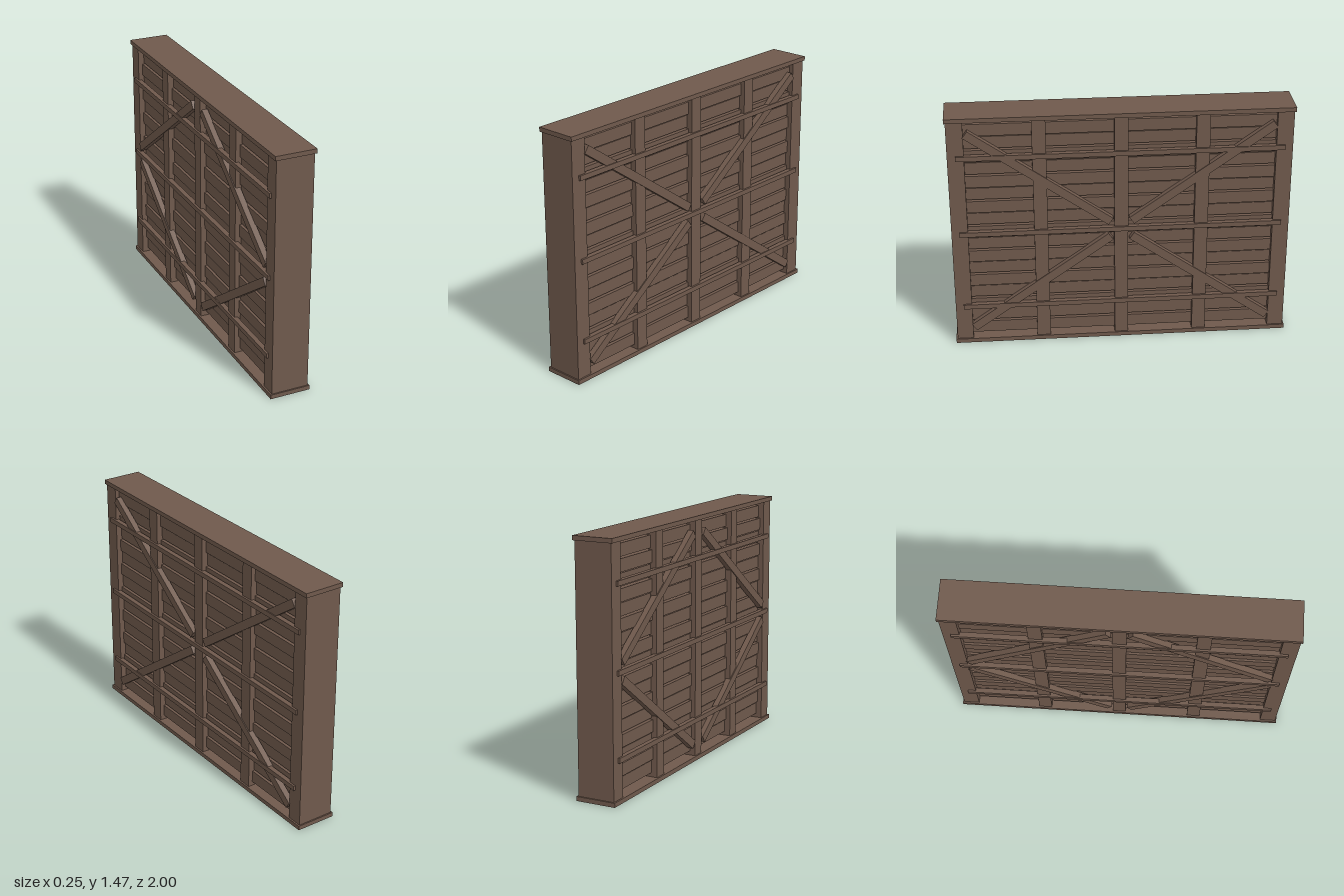
import * as THREE from 'three';

export function createModel() {
  const model = new THREE.Group();
  model.name = 'woodenWallPanel';
  const wood = new THREE.MeshStandardMaterial({ color: 0x6f594c });
  wood.name = 'brown wood';

  // Box beam given by its size and centre
  function beam(name, size, centre, tilt = 0) {
    const mesh = new THREE.Mesh(new THREE.BoxGeometry(...size), wood);
    mesh.name = name;
    mesh.position.set(...centre);
    mesh.rotation.x = tilt;
    model.add(mesh);
  }

  const midY = 0.736;

  // Top and bottom plates
  beam('bottomPlate', [0.244, 0.026, 2], [0, 0.013, 0]);
  beam('topPlate', [0.244, 0.026, 2], [0, 1.457, 0]);

  // Wide end posts and three inner studs
  for (const s of [-1, 1]) beam('endPost', [0.224, 1.42, 0.096], [0, midY, s * 0.944]);
  for (const z of [-0.47, 0, 0.47]) beam('stud', [0.224, 1.42, 0.08], [0, midY, z]);

  // Horizontal planks with narrow gaps, set slightly in and out
  for (let i = -8; i <= 8; i++) {
    const offset = i % 2 === 0 ? 0.005 : -0.005;
    beam('plank', [0.162, 0.073, 1.81], [offset, midY + i * 0.081, 0]);
  }

  // Rails and diagonal braces on both faces
  const dy = 0.585, dz = 0.825;
  const length = Math.hypot(dy, dz);
  const angle = Math.atan2(dy, dz);
  for (const side of [-1, 1]) {
    for (const y of [-0.487, 0, 0.487]) {
      beam('rail', [0.03, 0.029, 1.89], [side * 0.109, midY + y, 0]);
    }
    // The left face carries a cross, the right face a diamond
    for (const v of [-1, 1]) {
      for (const w of [-1, 1]) {
        const slope = -side * v * w;
        beam('brace', [0.036, 0.05, length], [side * 0.1, midY + v * 0.342, w * 0.474], slope * angle);
      }
    }
  }
  return model;
}
